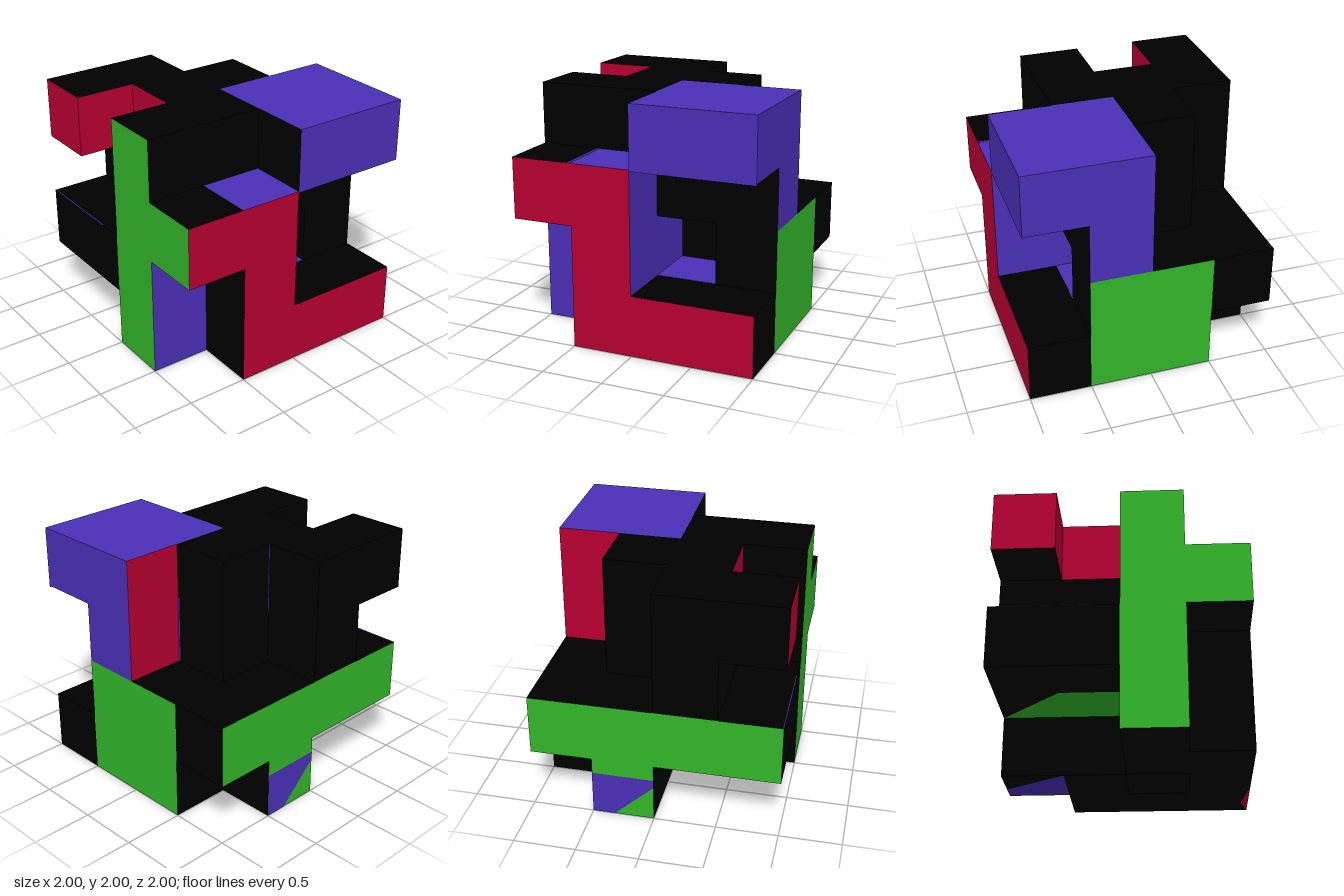
import * as THREE from 'three';
import { mergeGeometries } from 'three/addons/utils/BufferGeometryUtils.js';

const S = 0.5; // cell size

// Layers from bottom to top; rows run back to front, columns along +x
const LAYERS = [
  ['..#.', '..##', '##.#', '.###'],
  ['####', '####', '##.#', '.#..'],
  ['.#..', '.##.', '####', '##..'],
  ['##..', '.##.', '####', '..##'],
];

const NORMALS = {
  '+x': [1, 0, 0], '-x': [-1, 0, 0],
  '+y': [0, 1, 0], '-y': [0, -1, 0],
  '+z': [0, 0, 1], '-z': [0, 0, -1],
};

// Painted regions: name, colour, facing, then cell ranges in x, y, z
const PAINT = [
  ['upperBlockFront', 'purple', '+z', [2, 3], [3, 3], [3, 3]],
  ['frontPanel', 'red', '+z', [0, 3], [0, 2], [3, 3]],
  ['lowerRecessFront', 'purple', '+z', [0, 0], [0, 1], [2, 2]],
  ['notchFront', 'red', '+z', [0, 0], [3, 3], [0, 0]],
  ['upperBlockSide', 'purple', '+x', [3, 3], [2, 3], [2, 3]],
  ['sidePanel', 'green', '+x', [3, 3], [0, 1], [1, 2]],
  ['columnInnerSide', 'purple', '+x', [1, 1], [1, 2], [2, 3]],
  ['upperBlockTop', 'purple', '+y', [2, 3], [3, 3], [2, 3]],
  ['columnTop', 'purple', '+y', [1, 1], [2, 2], [3, 3]],
  ['overhangUnderside', 'red', '-y', [2, 3], [3, 3], [3, 3]],
  ['upperBlockBack', 'red', '-z', [3, 3], [2, 3], [2, 2]],
  ['backBar', 'green', '-z', [0, 3], [1, 1], [0, 0]],
  ['backFoot', 'green', '-z', [2, 2], [0, 0], [0, 0]],
  ['farSideColumn', 'green', '-x', [0, 0], [0, 3], [2, 2]],
  ['farSideArm', 'green', '-x', [0, 0], [2, 2], [3, 3]],
  ['farSideHook', 'red', '-x', [0, 0], [3, 3], [0, 0]],
  ['notchSide', 'red', '-x', [1, 1], [3, 3], [1, 1]],
];

// Thin purple plates and edge lines: name, size, centre
const PLATES = [
  ['pocketFloor', [S, 0.006, S], [0.25, 0.5, 0.25]],
  ['columnTopEdge', [0.02, 0.004, S], [-0.51, 1.5, 0.75]],
  ['overhangEdge', [1, 0.012, 0.006], [0.5, 1.494, 0.997]],
  ['upperBlockEdge', [0.004, 0.55, 0.015], [0.5, 1.28, -0.008]],
  ['rearCornerEdge', [0.008, 0.57, 0.004], [0.004, 1.715, -0.5]],
  ['ledgeEdge', [0.008, 0.004, 0.78], [-0.996, 1, -0.61]],
];

const filled = (i, j, k) => LAYERS[j]?.[k]?.[i] === '#';
const within = (v, [a, b]) => v >= a && v <= b;

// One square on the given side of a cell
function cellFace(i, j, k, n) {
  const normal = new THREE.Vector3(...n);
  const turn = new THREE.Quaternion().setFromUnitVectors(new THREE.Vector3(0, 0, 1), normal);
  const centre = new THREE.Vector3((i - 1.5) * S, (j + 0.5) * S, (k - 1.5) * S);
  return new THREE.PlaneGeometry(S, S)
    .applyQuaternion(turn)
    .translate(...centre.addScaledVector(normal, S / 2).toArray());
}

function flatShape(points) {
  return new THREE.ShapeGeometry(new THREE.Shape(points.map(([x, y]) => new THREE.Vector2(x, y))));
}

// Downward-facing patch from x, z corners
const underside = (points, y) => flatShape(points).rotateX(Math.PI / 2).translate(0, y, 0);

export function createModel() {
  const group = new THREE.Group();
  group.name = 'interlockingBlocks';

  const materials = {};
  for (const [name, color] of [
    ['black', 0x000000], ['purple', 0x4b2fb6], ['red', 0xb60031], ['green', 0x31b529],
  ]) {
    materials[name] = new THREE.MeshStandardMaterial({ color });
    materials[name].name = name;
  }
  const add = (name, color, geometry) => {
    const mesh = new THREE.Mesh(geometry, materials[color]);
    mesh.name = name;
    group.add(mesh);
  };

  // Collect every exposed square into its painted region or the black body
  const parts = new Map();
  for (let j = 0; j < 4; j++) for (let k = 0; k < 4; k++) for (let i = 0; i < 4; i++) {
    if (!filled(i, j, k)) continue;
    for (const [dir, n] of Object.entries(NORMALS)) {
      if (filled(i + n[0], j + n[1], k + n[2])) continue;
      const region = PAINT.find(([, , d, x, y, z]) =>
        d === dir && within(i, x) && within(j, y) && within(k, z));
      const [name, color] = region ?? ['body', 'black'];
      if (!parts.has(name)) parts.set(name, { color, faces: [] });
      parts.get(name).faces.push(cellFace(i, j, k, n));
    }
  }
  for (const [name, { color, faces }] of parts) add(name, color, mergeGeometries(faces));

  for (const [name, size, centre] of PLATES) {
    add(name, 'purple', new THREE.BoxGeometry(...size).translate(...centre));
  }

  // Patches on the back foot, the bar and the undersides
  add('backFootPatch', 'purple',
    flatShape([[-0.5, 0], [-0.32, 0], [0, 0.3], [0, 0.37], [-0.5, 0.37]])
      .rotateY(Math.PI).translate(0, 0, -1.002));
  add('footUndersidePatch', 'purple',
    underside([[0.5, -1], [0.5, -0.5], [0, -0.5], [0.33, -1]], -0.002));
  add('backBarUndersidePatch', 'green',
    underside([[0, -1], [0, 0], [-0.5, 0], [-0.5, -0.5]], 0.498));
  add('frontBarUndersidePatch', 'red',
    underside([[1, 1], [0.35, 1], [0.78, 0.94]], -0.002));

  return group;
}
